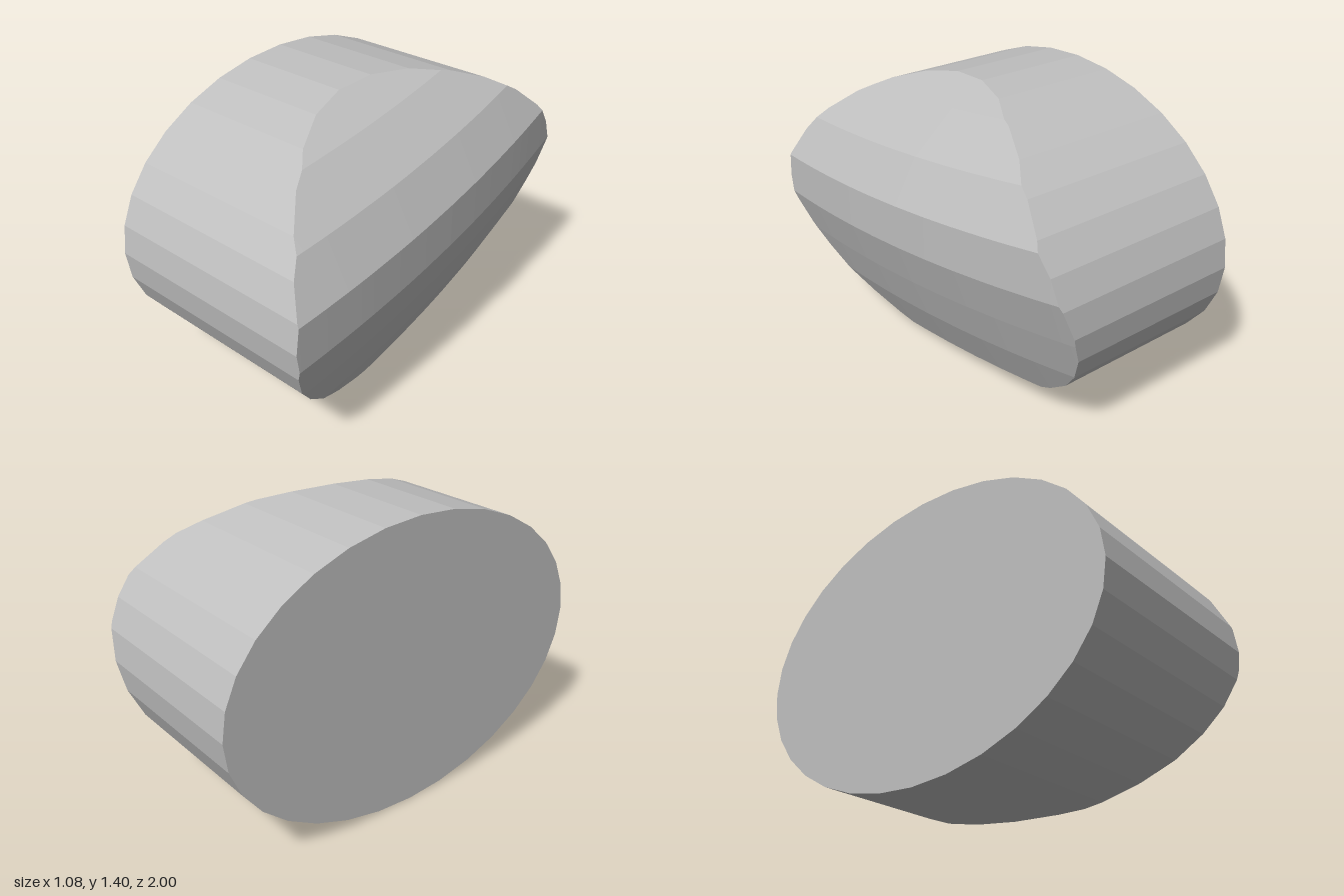
import * as THREE from 'three';

// Elliptical outline (32 sides) in the z/y plane
const SIDES = 32, RY = 0.7, CY = 0.7, BACK_X = -0.54;

// Crease lines of the curved face: [height, x] where they pass z = 0
const CREASES = [[-0.14, -0.11], [0.07, 0.25], [0.29, 0.365], [0.5, 0.445], [0.71, 0.515],
  [0.92, 0.515], [1.13, 0.4], [1.31, 0.2], [1.51, -0.17]];

// The creases climb and recede towards the back (-z)
const rise = (z) => -0.13 * z + 0.03 * z * z;
const recede = (z) => 0.07 * z - 0.045 * z * z;

// Corners of the outline, ordered by z, and the half height between them
const corners = [];
for (let i = 0; i <= SIDES / 2; i++) {
  const a = Math.PI - (i / (SIDES / 2)) * Math.PI;
  corners.push([Math.cos(a), RY * Math.sin(a)]);
}
function halfHeight(z) {
  for (let i = 1; i < corners.length; i++) {
    const [z0, h0] = corners[i - 1], [z1, h1] = corners[i];
    if (z <= z1) return h0 + (h1 - h0) * (z - z0) / (z1 - z0);
  }
  return 0;
}

// x of the curved face at a given height and depth
function faceX(y, z) {
  const v = y - rise(z);
  let i = 1;
  while (i < CREASES.length - 1 && v > CREASES[i][0]) i++;
  const [v0, x0] = CREASES[i - 1], [v1, x1] = CREASES[i];
  return x0 + (x1 - x0) * (v - v0) / (v1 - v0) + recede(z);
}

// Slice positions: every corner plus every place a crease meets the outline
function sliceDepths() {
  const list = corners.map((c) => c[0]);
  for (const [v] of CREASES) {
    for (const side of [-1, 1]) {
      const gap = (z) => v + rise(z) - CY - side * halfHeight(z);
      for (let i = 1; i < corners.length; i++) {
        let lo = corners[i - 1][0], hi = corners[i][0];
        if (gap(lo) * gap(hi) >= 0) continue;
        for (let n = 0; n < 40; n++) {
          const mid = (lo + hi) / 2;
          if (gap(lo) * gap(mid) <= 0) hi = mid; else lo = mid;
        }
        list.push((lo + hi) / 2);
      }
    }
  }
  list.sort((a, b) => a - b);
  return list.filter((z, i) => i === 0 || z - list[i - 1] > 1e-5);
}

// Collects quads as separate triangles so that every facet is flat
function facets() {
  const pos = [];
  const tri = (a, b, c) => {
    const u = new THREE.Vector3().subVectors(b, a), w = new THREE.Vector3().subVectors(c, a);
    if (u.cross(w).length() > 1e-8) for (const p of [a, b, c]) pos.push(p.x, p.y, p.z);
  };
  return {
    quad(a, b, c, d) { tri(a, b, c); tri(a, c, d); },
    mesh(name, material) {
      const g = new THREE.BufferGeometry();
      g.setAttribute('position', new THREE.Float32BufferAttribute(pos, 3));
      g.computeVertexNormals();
      const m = new THREE.Mesh(g, material);
      m.name = name;
      return m;
    },
  };
}

export function createModel() {
  const grey = new THREE.MeshStandardMaterial({ color: 0xbfbfbf });
  grey.name = 'grey';
  const P = (x, y, z) => new THREE.Vector3(x, y, z);
  const wall = facets(), back = facets(), face = facets();
  const depths = sliceDepths();

  for (let i = 1; i < depths.length; i++) {
    const a = depths[i - 1], b = depths[i];
    const ha = halfHeight(a), hb = halfHeight(b);
    const ta = CY + ha, tb = CY + hb, la = CY - ha, lb = CY - hb;

    // side wall, upper and lower halves
    wall.quad(P(BACK_X, ta, a), P(BACK_X, tb, b), P(faceX(tb, b), tb, b), P(faceX(ta, a), ta, a));
    wall.quad(P(BACK_X, la, a), P(faceX(la, a), la, a), P(faceX(lb, b), lb, b), P(BACK_X, lb, b));

    // flat end
    back.quad(P(BACK_X, la, a), P(BACK_X, lb, b), P(BACK_X, tb, b), P(BACK_X, ta, a));

    // curved end, one strip between each pair of creases
    for (let k = 1; k < CREASES.length; k++) {
      const at = (v, z, lo, hi) => {
        const y = Math.min(hi, Math.max(lo, v + rise(z)));
        return P(faceX(y, z), y, z);
      };
      const v0 = CREASES[k - 1][0], v1 = CREASES[k][0];
      face.quad(at(v0, a, la, ta), at(v1, a, la, ta), at(v1, b, lb, tb), at(v0, b, lb, tb));
    }
  }

  const group = new THREE.Group();
  group.name = 'cutEllipticalCylinder';
  group.add(wall.mesh('sideWall', grey), back.mesh('flatEnd', grey), face.mesh('curvedEnd', grey));
  return group;
}
